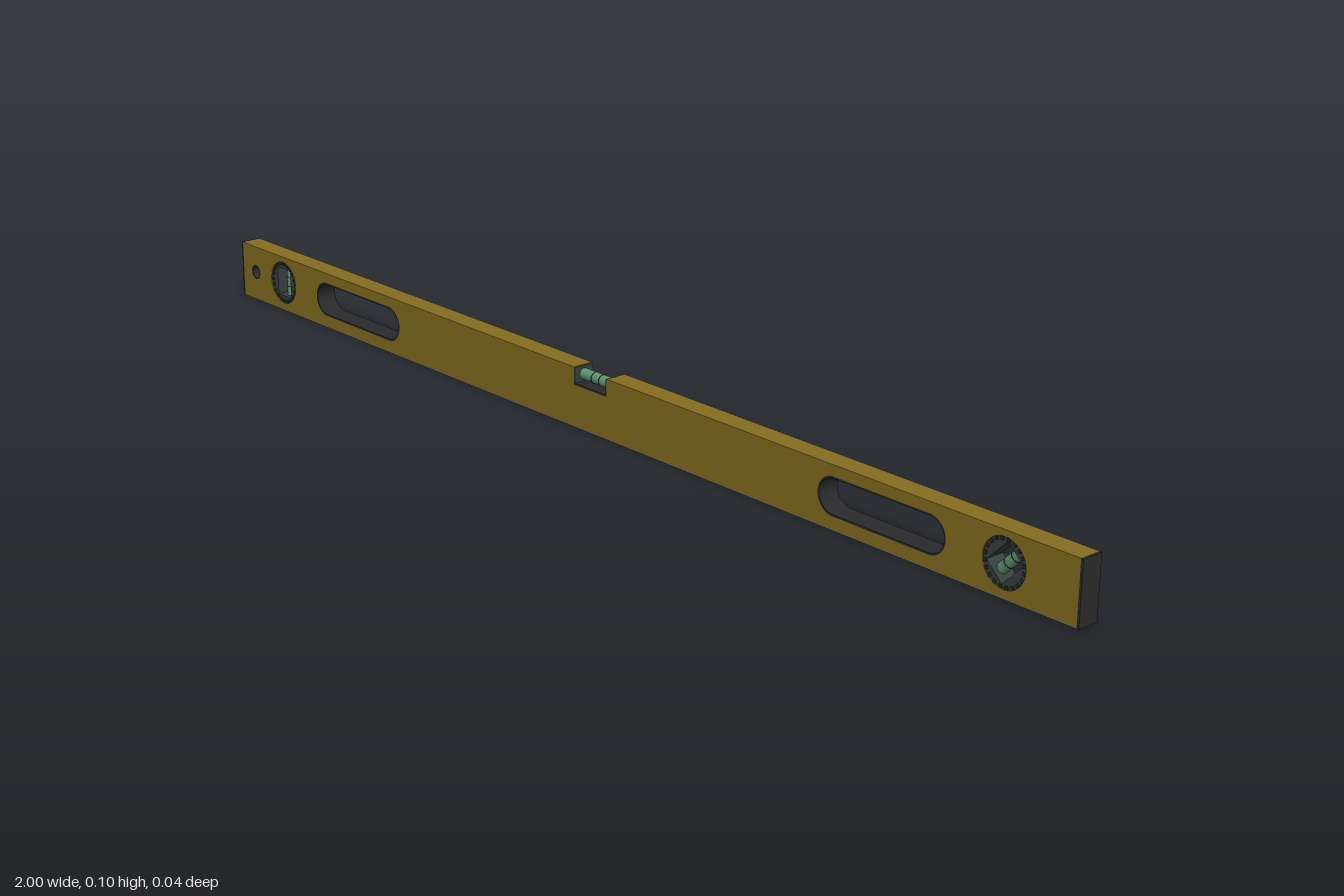
import * as THREE from 'three';

const H = 0.102, D = 0.038, MID = 0.053;
const mat = (name, color) => {
  const m = new THREE.MeshStandardMaterial({ color });
  m.name = name;
  return m;
};

// Stadium outline, centred on x, y
function slotPath(Type, x, y, halfW, r) {
  const p = new Type();
  p.absarc(x + halfW - r, y, r, -Math.PI / 2, Math.PI / 2, false);
  p.absarc(x - halfW + r, y, r, Math.PI / 2, Math.PI * 1.5, false);
  p.closePath();
  return p;
}

function circlePath(Type, x, y, r) {
  const p = new Type();
  p.absarc(x, y, r, 0, Math.PI * 2, false);
  return p;
}

// Extrusion centred on z = 0
function plate(shape, depth) {
  return new THREE.ExtrudeGeometry(shape, { depth, bevelEnabled: false, curveSegments: 20 })
    .translate(0, 0, -depth / 2);
}

export function createModel() {
  const gold = mat('gold paint', 0x866d20);
  const black = mat('black plastic', 0x2a2a2c);
  const steel = mat('milled metal', 0x707074);
  const green = mat('vial green', 0x5f9472);
  const slate = mat('dark vial housing', 0x36403f);

  const model = new THREE.Group();
  model.name = 'spiritLevel';
  const add = (parent, name, geometry, material, x = 0, y = 0, z = 0) => {
    const mesh = new THREE.Mesh(geometry, material);
    mesh.name = name;
    mesh.position.set(x, y, z);
    parent.add(mesh);
    return mesh;
  };

  // Beam with top notch, hand slots, vial openings and hanging hole
  const beam = new THREE.Shape();
  [[-0.996, 0.002], [0.996, 0.002], [0.996, H], [0.04, H], [0.04, 0.072], [-0.04, 0.072], [-0.04, H], [-0.996, H]]
    .forEach(([x, y], i) => (i ? beam.lineTo(x, y) : beam.moveTo(x, y)));
  beam.closePath();
  for (const s of [-1, 1]) {
    beam.holes.push(slotPath(THREE.Path, s * 0.635, MID, 0.125, 0.031));
    beam.holes.push(circlePath(THREE.Path, s * 0.866, MID, 0.039));
  }
  beam.holes.push(circlePath(THREE.Path, -0.956, MID, 0.0135));
  add(model, 'beam', plate(beam, D), gold);

  // Measuring face and end caps
  add(model, 'measuringFace', new THREE.BoxGeometry(1.992, 0.002, D), steel, 0, 0.001);
  for (const s of [-1, 1]) {
    add(model, 'endCap', new THREE.BoxGeometry(0.004, H, D), black, s * 0.998, H / 2);
  }

  // Dark liners in the hand slots and hanging hole
  for (const s of [-1, 1]) {
    const liner = slotPath(THREE.Shape, s * 0.635, MID, 0.125, 0.031);
    liner.holes.push(slotPath(THREE.Path, s * 0.635, MID, 0.122, 0.028));
    add(model, 'handSlotLiner', plate(liner, D), black);
  }
  const grommet = circlePath(THREE.Shape, -0.956, MID, 0.0135);
  grommet.holes.push(circlePath(THREE.Path, -0.956, MID, 0.0115));
  add(model, 'hangingHoleLiner', plate(grommet, D), black);

  // Tube with two reading rings, lying along y
  function vial(length, r) {
    const g = new THREE.Group();
    g.name = 'vial';
    add(g, 'vialTube', new THREE.CylinderGeometry(r, r, length, 20), green);
    for (const s of [-1, 1]) {
      add(g, 'readingRing', new THREE.CylinderGeometry(r * 1.06, r * 1.06, 0.0015, 20), black, 0, s * 0.009);
    }
    return g;
  }

  // Round ribbed holder with a window around its vial
  function roundVial(x, angle) {
    const g = new THREE.Group();
    g.name = 'roundVialHolder';
    g.position.set(x, MID, 0);
    g.rotation.z = angle;
    const disc = circlePath(THREE.Shape, 0, 0, 0.039);
    const win = new THREE.Path();
    win.moveTo(-0.02, -0.026).lineTo(-0.02, 0.026).lineTo(0.02, 0.026).lineTo(0.02, -0.026).closePath();
    disc.holes.push(win);
    add(g, 'holderDisc', plate(disc, 0.034), slate);
    const rib = new THREE.BoxGeometry(0.005, 0.0055, D);
    for (let i = 0; i < 20; i++) {
      const a = (i / 20) * Math.PI * 2;
      add(g, 'rib', rib, black, Math.cos(a) * 0.0355, Math.sin(a) * 0.0355).rotation.z = a;
    }
    g.add(vial(0.054, 0.009));
    model.add(g);
  }
  roundVial(-0.866, 0);
  roundVial(0.866, -Math.PI / 4);

  // Horizontal vial in the top notch
  const centre = new THREE.Group();
  centre.name = 'centreVialHolder';
  add(centre, 'notchFloor', new THREE.BoxGeometry(0.08, 0.003, D), black, 0, 0.0735);
  for (const s of [-1, 1]) {
    add(centre, 'notchWall', new THREE.BoxGeometry(0.003, 0.028, D), slate, s * 0.0385, 0.087);
  }
  const tube = vial(0.076, 0.0095);
  tube.rotation.z = Math.PI / 2;
  tube.position.y = 0.0875;
  centre.add(tube);
  model.add(centre);

  return model;
}
